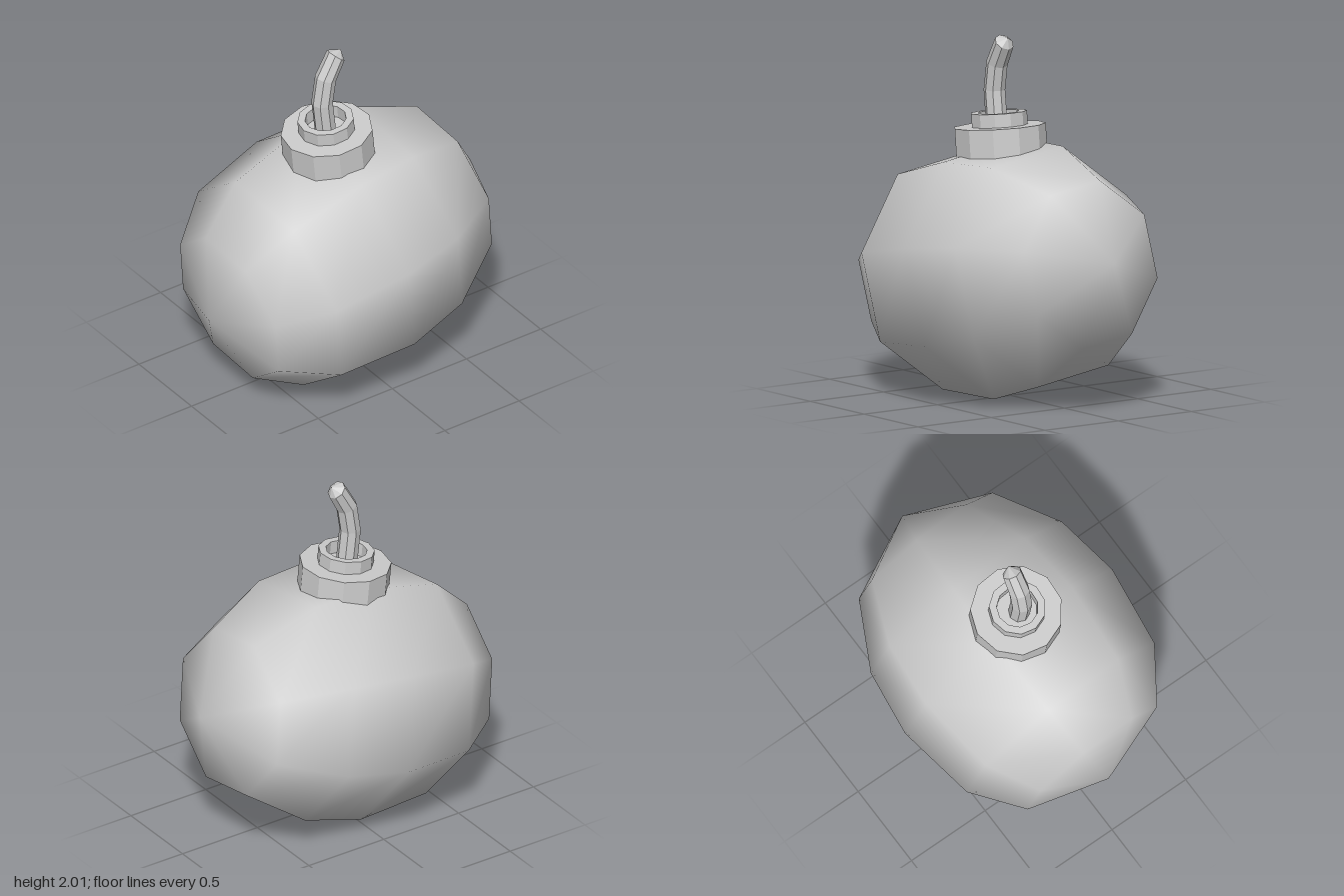
import * as THREE from 'three';
import { mergeVertices } from 'three/addons/utils/BufferGeometryUtils.js';

const smoothGrey = new THREE.MeshStandardMaterial({ color: 0xcccccc });
const flatGrey = new THREE.MeshStandardMaterial({ color: 0xcccccc, flatShading: true });

function addMesh(group, name, geometry, material) {
  const mesh = new THREE.Mesh(geometry, material);
  mesh.name = name;
  group.add(mesh);
  return mesh;
}

function lathe(profile, sides, startDegrees) {
  const points = profile.map(([r, y]) => new THREE.Vector2(r, y));
  return new THREE.LatheGeometry(points, sides, THREE.MathUtils.degToRad(startDegrees));
}

// Eight-sided egg shape, its poles lying along x
function bodyGeometry() {
  const profile = [
    [0, -0.925], [0.455, -0.78], [0.66, -0.495], [0.728, -0.03],
    [0.672, 0.35], [0.47, 0.715], [0, 0.925],
  ];
  let geometry = lathe(profile, 8, 30);
  geometry.rotateZ(-Math.PI / 2);
  geometry.deleteAttribute('normal');
  geometry.deleteAttribute('uv');
  geometry = mergeVertices(geometry, 1e-4);
  geometry.computeVertexNormals();
  return geometry;
}

// Bent rod: each ring, from the tip down, is [x, y, radius, tilt]
function fuseGeometry() {
  const rings = [
    [-0.005, 1.99, 0, -0.69],
    [-0.038, 1.963, 0.056, -0.69],
    [-0.107, 1.836, 0.06, -0.33],
    [-0.13, 1.685, 0.06, 0.02],
    [-0.105, 1.47, 0.06, 0.1],
  ];
  const sides = 8;
  const geometry = new THREE.CylinderGeometry(1, 1, 1, sides, rings.length - 1, true);
  const pos = geometry.attributes.position;
  for (let i = 0; i < pos.count; i++) {
    const [cx, cy, r, tilt] = rings[Math.floor(i / (sides + 1))];
    const across = pos.getX(i) * r;
    pos.setXYZ(i, cx + across * Math.cos(tilt), cy + across * Math.sin(tilt), 0.015 + pos.getZ(i) * r);
  }
  geometry.computeVertexNormals();
  return geometry;
}

export function createModel() {
  const model = new THREE.Group();
  model.name = 'roundBomb';

  const body = addMesh(model, 'body', bodyGeometry(), smoothGrey);
  body.position.set(0, 0.703, 0);
  body.rotation.set(0, 0.045, 0.163);

  // Stepped cap with a recess for the fuse
  const capProfile = [
    [0, -0.2], [0.256, -0.2], [0.256, 0], [0.157, 0], [0.157, 0.075],
    [0.115, 0.075], [0.115, 0.0], [0, 0.0],
  ];
  const cap = addMesh(model, 'cap', lathe(capProfile, 11, 13), flatGrey);
  cap.position.set(-0.094, 1.49, 0.008);
  cap.rotation.z = 0.1;

  addMesh(model, 'fuse', fuseGeometry(), flatGrey);
  return model;
}
